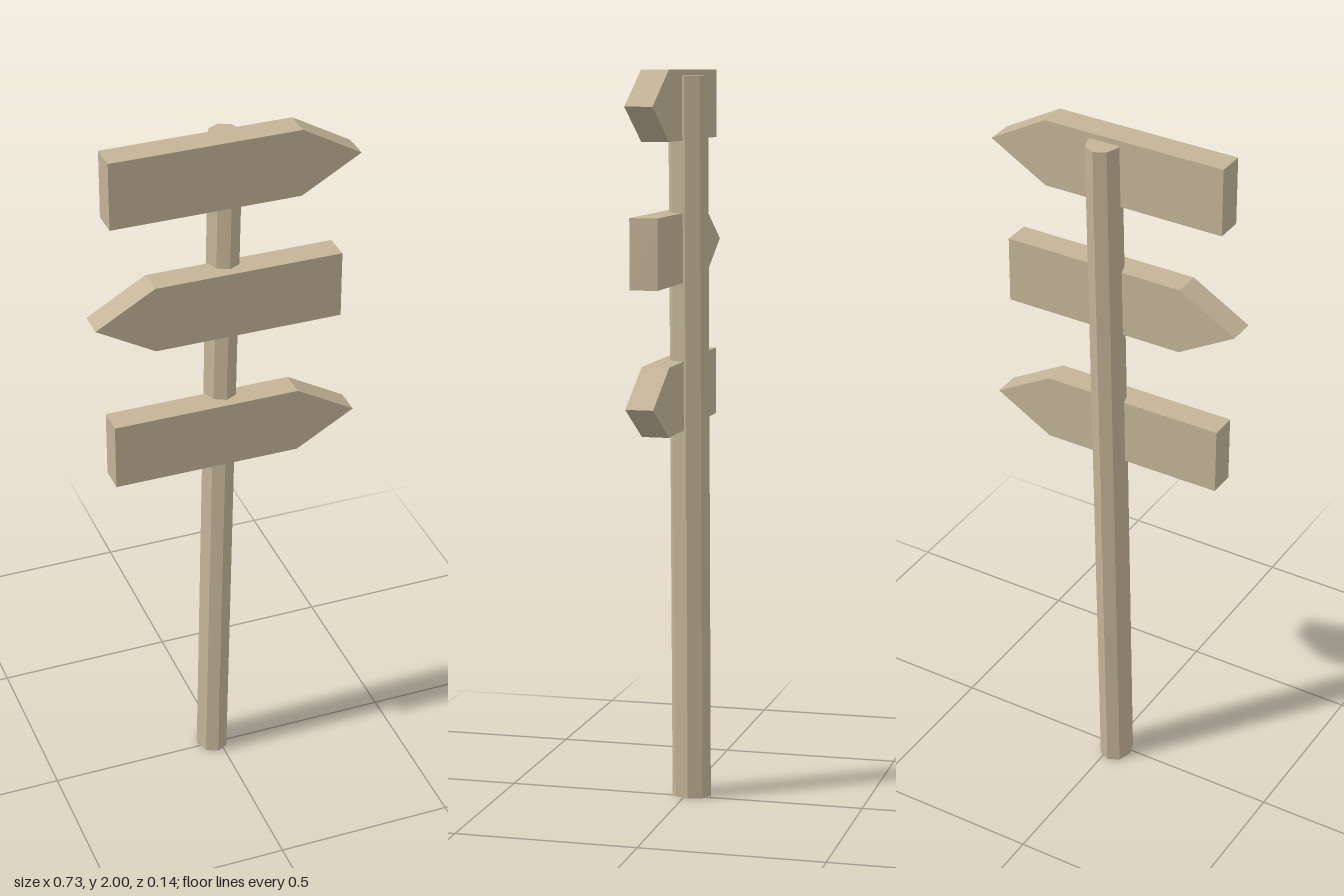
import * as THREE from 'three';

export function createModel() {
  const model = new THREE.Group();
  const wood = new THREE.MeshStandardMaterial({ color: 0xc3b397, flatShading: true });
  wood.name = 'weathered wood';

  // Eight-sided post, slightly oval and leaning toward +x
  const height = 1.985;
  const postGeometry = new THREE.CylinderGeometry(1, 1, height, 8);
  postGeometry.scale(0.045, 1, 0.055);
  postGeometry.translate(0, height / 2, 0);
  const p = postGeometry.attributes.position;
  for (let i = 0; i < p.count; i++) {
    p.setX(i, p.getX(i) - 0.019 + 0.041 * (p.getY(i) / height));
  }
  postGeometry.computeVertexNormals();
  const post = new THREE.Mesh(postGeometry, wood);
  post.name = 'post';
  post.position.z = -0.014;
  model.add(post);

  // Pointed arrow boards, fixed to the front of the post
  const h = 0.0935;
  const arrow = new THREE.Shape([
    [-0.318, -h], [0.2, -h], [0.363, 0], [0.2, h], [-0.318, h],
  ].map(([x, y]) => new THREE.Vector2(x, y)));
  const boardGeometry = new THREE.ExtrudeGeometry(arrow, { depth: 0.075, bevelEnabled: false });
  boardGeometry.translate(0, 0, -0.0375);

  const boards = [
    ['topBoard', 1.9065, false],
    ['middleBoard', 1.527, true],
    ['bottomBoard', 1.127, false],
  ];
  for (const [name, y, pointsRight] of boards) {
    const board = new THREE.Mesh(boardGeometry, wood);
    board.name = name;
    board.position.set(0, y, 0.0295);
    if (pointsRight) board.rotation.y = Math.PI;
    model.add(board);
  }
  return model;
}
